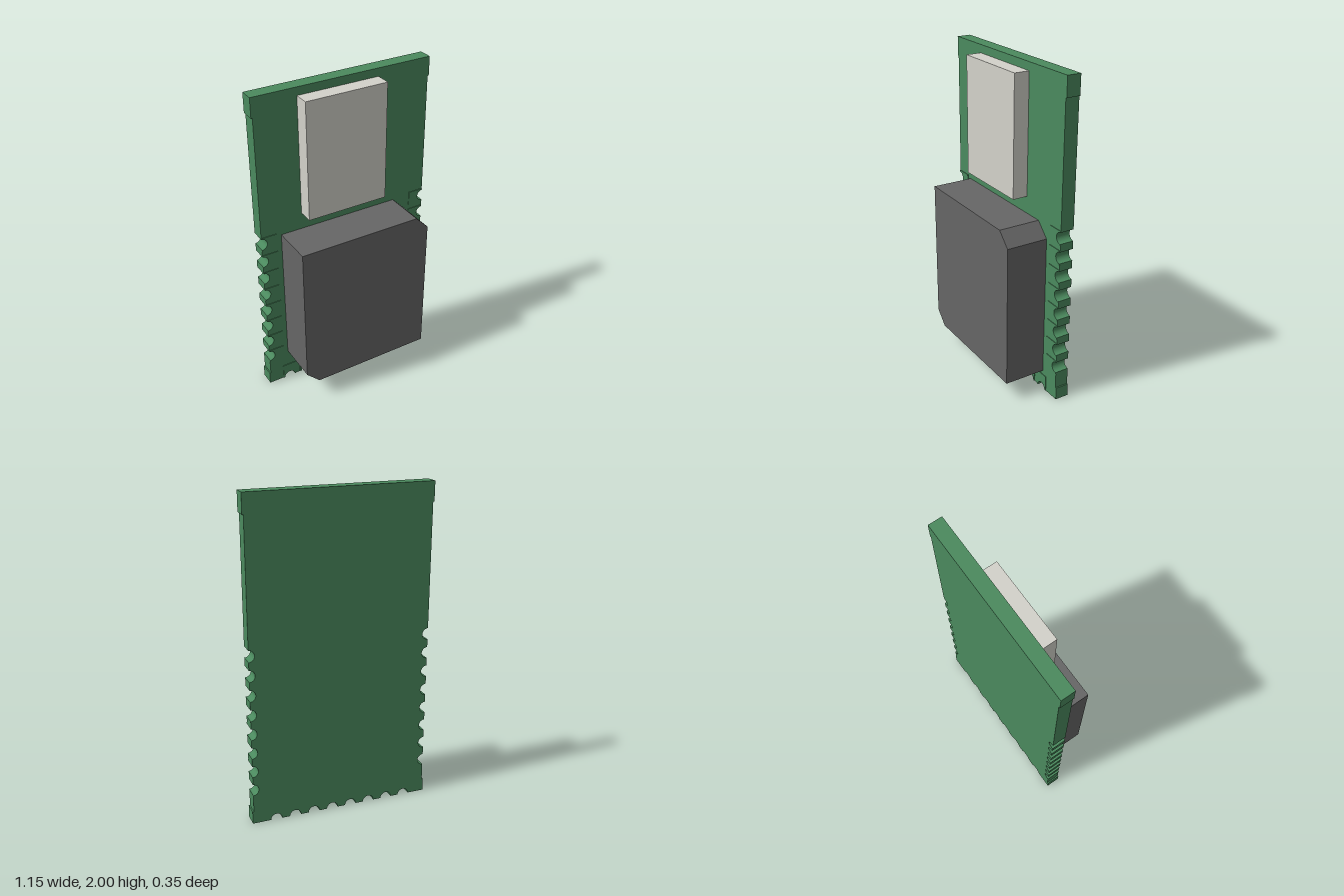
import * as THREE from 'three';

const PITCH = 0.1217, NOTCH_R = 0.036;
const BACK = -0.175, FACE = -0.088;
const EDGE = 0.565, TAB = 0.573;
const sideY = Array.from({ length: 8 }, (_, i) => 0.225 + i * PITCH);
const bottomX = Array.from({ length: 8 }, (_, i) => -0.43 + i * PITCH);

// Flat outline extruded from z0 to z1
function slab(name, shape, z0, z1, color) {
  const geometry = new THREE.ExtrudeGeometry(shape, { depth: z1 - z0, bevelEnabled: false, curveSegments: 12 });
  geometry.translate(0, 0, z0);
  const mesh = new THREE.Mesh(geometry, new THREE.MeshStandardMaterial({ color }));
  mesh.name = name;
  return mesh;
}

const polygon = (points) => new THREE.Shape(points.map(([x, y]) => new THREE.Vector2(x, y)));

// Board outline, counter-clockwise, with half-round notches on three edges
function boardShape() {
  const s = new THREE.Shape();
  s.moveTo(-TAB, 0);
  for (const x of bottomX.slice(0, 8)) {
    s.lineTo(x - NOTCH_R, 0);
    s.absarc(x, 0, NOTCH_R, Math.PI, 0, true);
  }
  s.lineTo(TAB, 0);
  s.lineTo(TAB, 0.08);
  s.lineTo(EDGE, 0.08);
  for (const y of sideY) {
    s.lineTo(EDGE, y - NOTCH_R);
    s.absarc(EDGE, y, NOTCH_R, -Math.PI / 2, -Math.PI * 1.5, true);
  }
  s.lineTo(EDGE, 1.88);
  s.lineTo(TAB, 1.88);
  s.lineTo(TAB, 2);
  s.lineTo(-TAB, 2);
  s.lineTo(-TAB, 1.88);
  s.lineTo(-EDGE, 1.88);
  for (const y of [...sideY].reverse()) {
    s.lineTo(-EDGE, y + NOTCH_R);
    s.absarc(-EDGE, y, NOTCH_R, Math.PI / 2, -Math.PI / 2, true);
  }
  s.lineTo(-EDGE, 0.08);
  s.lineTo(-TAB, 0.08);
  s.closePath();
  return s;
}

// Contact pad whose notched end lies on y = 0 and which runs towards +y
function padShape() {
  const w = 0.045, length = 0.1;
  const s = new THREE.Shape();
  s.moveTo(-w, 0);
  s.lineTo(-NOTCH_R, 0);
  s.absarc(0, 0, NOTCH_R, Math.PI, 0, true);
  s.lineTo(w, 0);
  s.lineTo(w, length);
  s.lineTo(-w, length);
  s.closePath();
  return s;
}

export function createModel() {
  const model = new THREE.Group();
  model.name = 'radioModule';
  const green = 0x4b8a5e;

  model.add(slab('circuitBoard', boardShape(), BACK, FACE, green));

  // Thin contact pads around the notches
  const pads = new THREE.Group();
  pads.name = 'contactPads';
  const pad = slab('contactPad', padShape(), FACE - 0.002, FACE + 0.004, green);
  const addPad = (x, y, turn) => {
    const p = pad.clone();
    p.position.set(x, y, 0);
    p.rotation.z = turn;
    pads.add(p);
  };
  for (const x of bottomX) addPad(x, 0, 0);
  for (const y of sideY) {
    addPad(EDGE, y, Math.PI / 2);
    addPad(-EDGE, y, -Math.PI / 2);
  }
  model.add(pads);

  // Shield can with two opposite corners cut off
  const l = -0.435, r = 0.43, b = 0.125, t = 1.105, c = 0.085;
  const can = polygon([[l + c, b], [r, b], [r, t - c], [r - c, t], [l, t], [l, b + c]]);
  model.add(slab('shieldCan', can, FACE, 0.175, 0x666666));

  // Ceramic antenna block
  const antenna = polygon([[-0.297, 1.21], [0.223, 1.21], [0.223, 1.95], [-0.297, 1.95]]);
  model.add(slab('antennaBlock', antenna, FACE, 0.008, 0xd3d2ca));

  return model;
}
